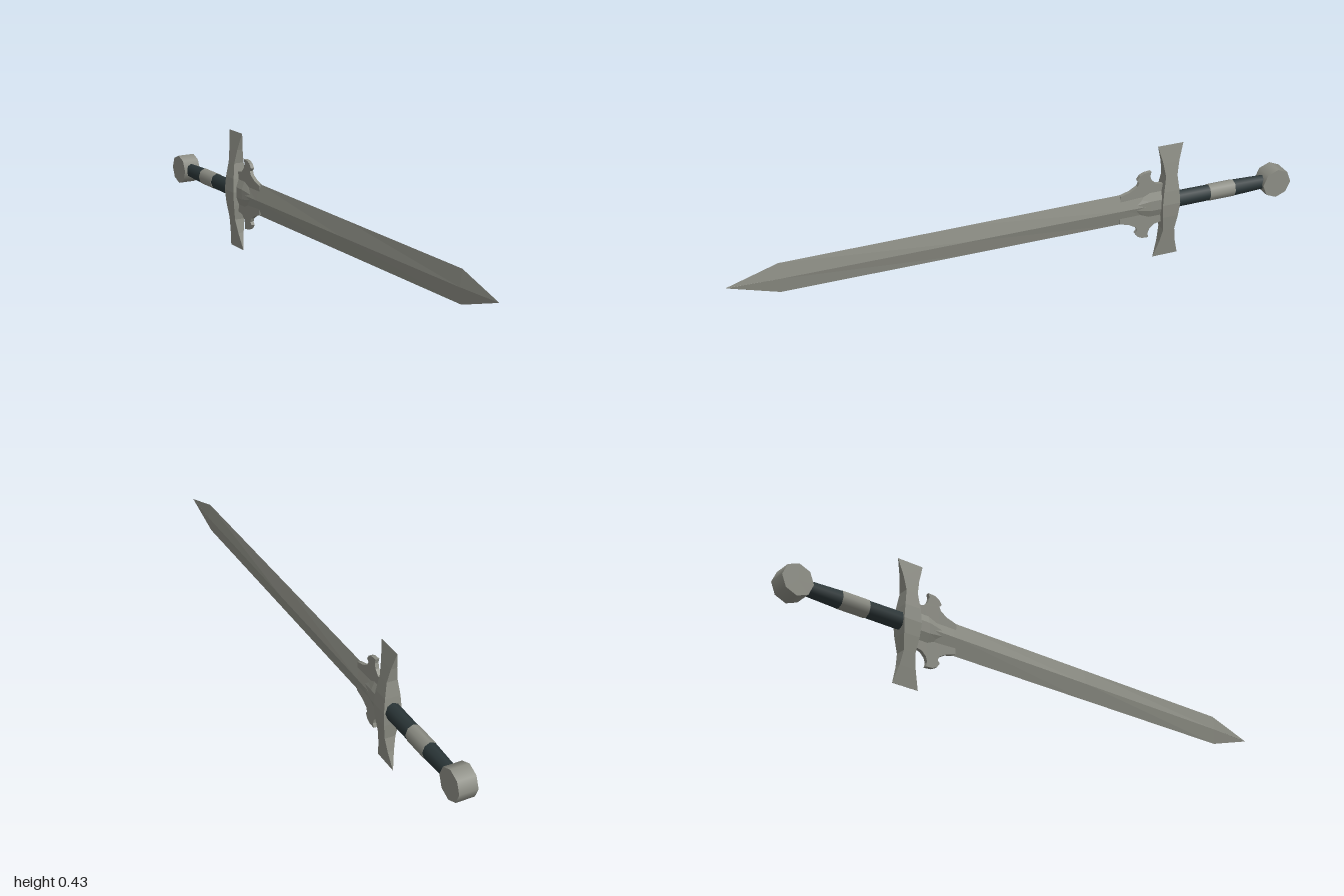
import * as THREE from 'three';

const CY = 0.219; // height of the sword's long axis

// Skin a list of rings (counter-clockwise seen from the far end) and cap both ends
function loft(rings) {
  const pos = [];
  const tri = (...pts) => pts.forEach((p) => pos.push(...p));
  for (let i = 0; i < rings.length - 1; i++) {
    const n = rings[i].length;
    for (let j = 0; j < n; j++) {
      const k = (j + 1) % n;
      const a = rings[i][j], b = rings[i][k], c = rings[i + 1][k], d = rings[i + 1][j];
      tri(a, b, c);
      tri(a, c, d);
    }
  }
  const first = rings[0], last = rings[rings.length - 1];
  for (let j = 1; j < first.length - 1; j++) {
    tri(first[0], first[j + 1], first[j]);
    tri(last[0], last[j], last[j + 1]);
  }
  const g = new THREE.BufferGeometry();
  g.setAttribute('position', new THREE.Float32BufferAttribute(pos, 3));
  g.computeVertexNormals();
  return g;
}

export function createModel() {
  const sword = new THREE.Group();
  sword.name = 'sword';
  const steel = new THREE.MeshStandardMaterial({ color: 0x8c8d84 });
  steel.name = 'steel';
  const leather = new THREE.MeshStandardMaterial({ color: 0x2b3638 });
  leather.name = 'dark leather';

  const add = (name, geometry, material) => {
    const mesh = new THREE.Mesh(geometry, material);
    mesh.name = name;
    mesh.position.y = CY;
    sword.add(mesh);
    return mesh;
  };

  // Blade: diamond sections [z, half height, half thickness]
  const blade = [[-0.5, 0.058, 0.017], [-0.36, 0.058, 0.015], [0.2, 0.056, 0.012],
    [0.83, 0.054, 0.008], [1, 0.0005, 0.0003]];
  add('blade', loft(blade.map(([z, h, t]) => [[t, 0, z], [0, h, z], [-t, 0, z], [0, -h, z]])), steel);

  // Hooked lugs at the blade root: half outline [z, y], mirrored below
  const hook = [[-0.35, 0.054], [-0.385, 0.064], [-0.412, 0.08], [-0.418, 0.094], [-0.41, 0.104],
    [-0.42, 0.119], [-0.437, 0.127], [-0.462, 0.129], [-0.458, 0.113], [-0.464, 0.095],
    [-0.48, 0.08], [-0.512, 0.073]];
  const outline = [...hook, ...hook.slice().reverse().map(([z, y]) => [z, -y])];
  const lugs = new THREE.ExtrudeGeometry(
    new THREE.Shape(outline.map(([z, y]) => new THREE.Vector2(-z, y))),
    { depth: 0.013, bevelEnabled: false });
  lugs.translate(0, 0, -0.0065).rotateY(Math.PI / 2);
  add('bladeLugs', lugs, steel);

  // Raised boss over the root: six-sided sections [z, half height, half thickness]
  const boss = [[-0.51, 0.053, 0.018], [-0.46, 0.053, 0.018], [-0.41, 0.03, 0.013]];
  add('rootBoss', loft(boss.map(([z, h, t]) => [
    [t, -h * 0.35, z], [t, h * 0.35, z], [0.004, h, z],
    [-0.004, h, z], [-t, h * 0.35, z], [-t, -h * 0.35, z], [-0.004, -h, z], [0.004, -h, z],
  ])), steel);

  // Crossguard: rectangular sections [y, half width, front z, back z], mirrored below
  const arm = [[0, 0.031, -0.5, -0.566], [0.05, 0.027, -0.504, -0.562], [0.105, 0.019, -0.512, -0.555],
    [0.155, 0.011, -0.503, -0.563], [0.217, 0.0004, -0.485, -0.58]];
  const guard = [...arm.slice(1).reverse().map(([y, ...rest]) => [-y, ...rest]), ...arm];
  add('crossguard', loft(guard.map(([y, w, f, b]) => [[w, y, f], [w, y, b], [-w, y, b], [-w, y, f]])), steel);

  // Grip: wrapped bands [name, front z, back z, front radius, back radius, material]
  [['gripFront', -0.55, -0.69, 0.031, 0.03, leather],
    ['gripBand', -0.688, -0.785, 0.032, 0.032, steel],
    ['gripRear', -0.783, -0.91, 0.031, 0.026, leather],
  ].forEach(([name, f, b, rf, rb, material]) => {
    const g = new THREE.CylinderGeometry(rf, rb, f - b, 8);
    g.rotateX(Math.PI / 2).scale(0.85, 1, 1);
    add(name, g, material).position.z = (f + b) / 2;
  });

  // Pommel: eight-sided disc lying across the grip
  const pommel = new THREE.CylinderGeometry(0.054, 0.054, 0.064, 8);
  pommel.rotateZ(Math.PI / 2);
  add('pommel', pommel, steel).position.z = -0.946;

  return sword;
}
